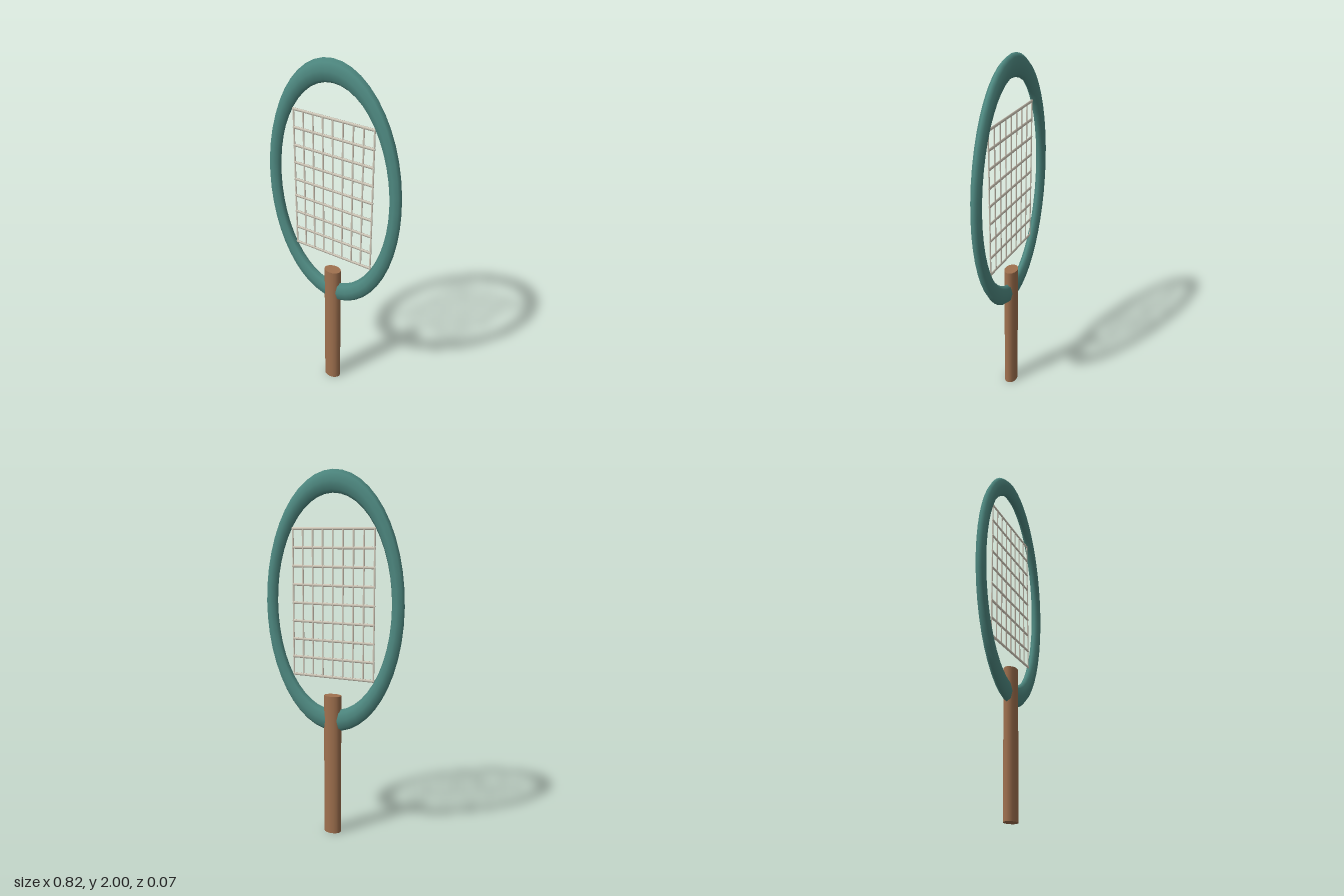
import * as THREE from 'three';

const material = (name, color) => {
  const m = new THREE.MeshStandardMaterial({ color });
  m.name = name;
  return m;
};

export function createModel() {
  const teal = material('teal frame', 0x4f8a82);
  const wood = material('brown grip', 0xa0714f);
  const cord = material('pale string', 0xd8d0c0);

  const racket = new THREE.Group();
  racket.name = 'racket';
  const add = (name, geometry, mat, parent = racket) => {
    const mesh = new THREE.Mesh(geometry, mat);
    mesh.name = name;
    parent.add(mesh);
    return mesh;
  };

  // Oval hoop: a round ring stretched upwards and flattened in depth
  const hoop = new THREE.TorusGeometry(0.374, 0.035, 8, 48);
  hoop.scale(1, 1.72, 0.74);
  add('frame', hoop, teal).position.y = 1.297;

  // Grip: an oval post reaching through the bottom of the hoop
  const grip = new THREE.CylinderGeometry(0.05, 0.05, 0.795, 16);
  grip.scale(1, 1, 0.72);
  add('handle', grip, wood).position.y = 0.3975;

  // Strings: nine upright and nine level cords in an even grid
  const strings = new THREE.Group();
  strings.name = 'strings';
  racket.add(strings);
  const upright = new THREE.CylinderGeometry(0.005, 0.005, 0.8, 6);
  upright.scale(1, 1, 0.72);
  const level = new THREE.CylinderGeometry(0.005, 0.005, 0.49, 6);
  level.rotateZ(Math.PI / 2);
  level.scale(1, 1.7, 0.72);
  for (let i = -4; i <= 4; i++) {
    add('uprightString', upright, cord, strings).position.set(i * 0.06, 1.297, 0);
    add('levelString', level, cord, strings).position.set(0, 1.297 + i * 0.1, 0);
  }

  return racket;
}
